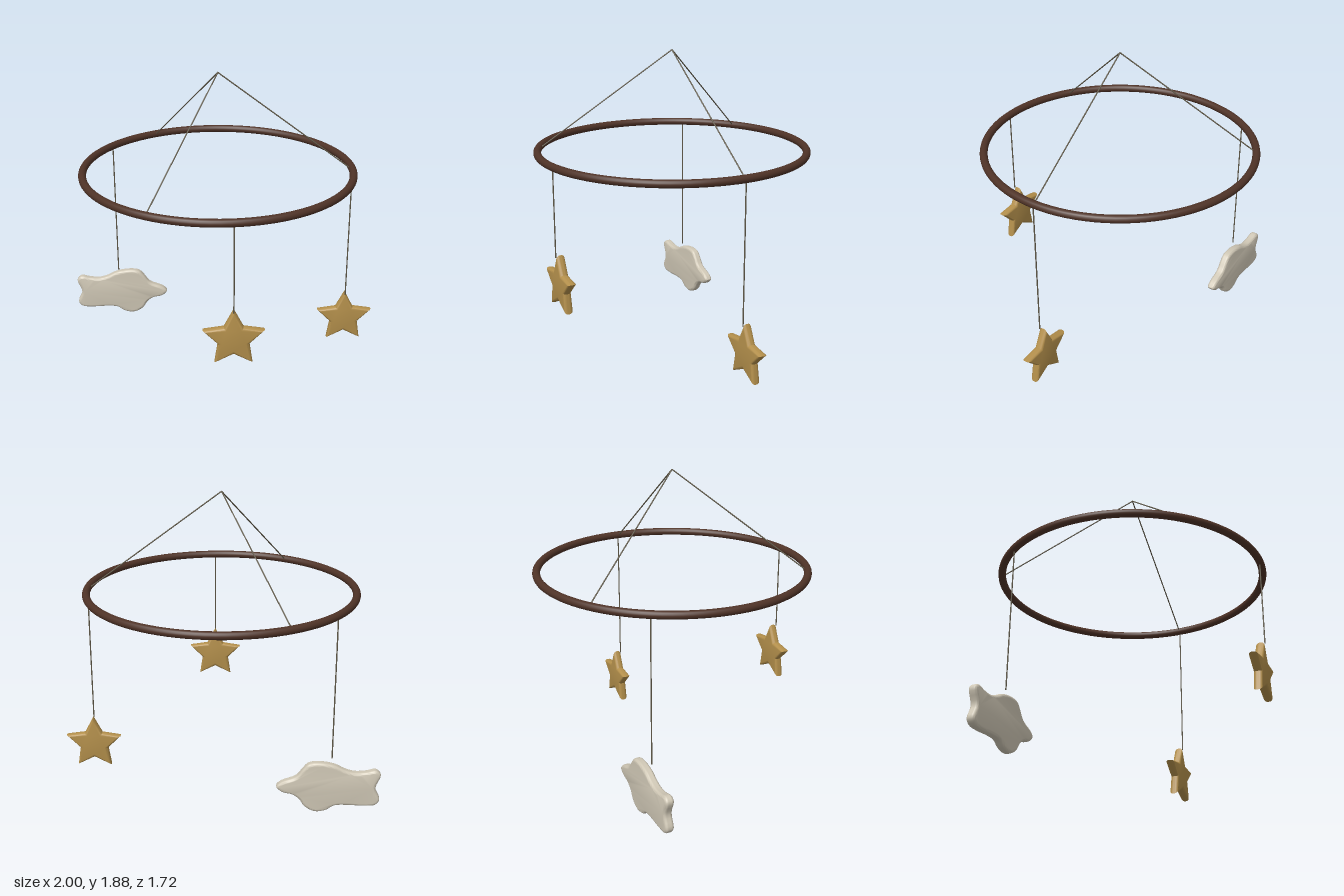
import * as THREE from 'three';
import { toCreasedNormals } from 'three/addons/utils/BufferGeometryUtils.js';

const wood = new THREE.MeshStandardMaterial({ color: 0x4f3327 });
const twine = new THREE.MeshStandardMaterial({ color: 0x625b4a });
const gold = new THREE.MeshStandardMaterial({ color: 0xb38f4b });
const cream = new THREE.MeshStandardMaterial({ color: 0xcfc7b5 });

const CX = -0.017, RING_Y = 1.265, RING_R = 0.835;

function addMesh(parent, name, geometry, material) {
  const mesh = new THREE.Mesh(geometry, material);
  mesh.name = name;
  parent.add(mesh);
  return mesh;
}

// Thin straight cord between two points
function addCord(parent, name, a, b) {
  const dir = b.clone().sub(a);
  const cord = addMesh(parent, name, new THREE.CylinderGeometry(0.004, 0.004, dir.length(), 8), twine);
  cord.position.copy(a).addScaledVector(dir, 0.5);
  cord.quaternion.setFromUnitVectors(new THREE.Vector3(0, 1, 0), dir.normalize());
}

// Padded flat shape with rounded edges, 0.055 thick and centred on z
function padded(shape, bevel, thickness, offset) {
  const depth = 0.055 - 2 * thickness;
  const geometry = new THREE.ExtrudeGeometry(shape, {
    depth, bevelEnabled: true, bevelSize: bevel, bevelThickness: thickness,
    bevelOffset: offset, bevelSegments: 5, curveSegments: 12,
  });
  geometry.translate(0, 0, -depth / 2);
  return toCreasedNormals(geometry, 0.65);
}

function starGeometry() {
  const points = [];
  for (let i = 0; i < 10; i++) {
    const r = i % 2 ? 0.073 : 0.159;
    const a = Math.PI / 2 + (i * Math.PI) / 5;
    points.push(new THREE.Vector2(r * Math.cos(a), r * Math.sin(a)));
  }
  return padded(new THREE.Shape(points), 0.02, 0.022, 0);
}

function cloudGeometry() {
  // Outline, counter-clockwise from the upper left lobe
  const outline = [
    [-1.0, 0.265], [-0.972, 0.175], [-1.0, 0.095], [-0.975, 0.06], [-0.9, 0.052],
    [-0.8, 0.056], [-0.725, 0.05], [-0.68, 0.02], [-0.61, 0.007], [-0.545, 0.04],
    [-0.51, 0.09], [-0.47, 0.12], [-0.405, 0.137], [-0.37, 0.172], [-0.4, 0.204],
    [-0.49, 0.243], [-0.53, 0.295], [-0.565, 0.33], [-0.63, 0.339], [-0.72, 0.324],
    [-0.78, 0.295], [-0.84, 0.277], [-0.91, 0.281], [-0.97, 0.293],
  ].map(([x, y]) => new THREE.Vector3(x, y, 0));
  const curve = new THREE.CatmullRomCurve3(outline, true);
  const points = curve.getPoints(96).slice(0, -1).map((p) => new THREE.Vector2(p.x, p.y));
  return padded(new THREE.Shape(points), 0.018, 0.018, -0.018);
}

export function createModel() {
  const model = new THREE.Group();
  model.name = 'hangingMobile';

  // Wooden hoop
  const hoop = addMesh(model, 'hoop', new THREE.TorusGeometry(RING_R, 0.024, 16, 96), wood);
  hoop.rotation.x = Math.PI / 2;
  hoop.position.set(CX, RING_Y, 0);

  // Three suspension cords meeting at the top
  const apex = new THREE.Vector3(CX, 1.88, 0);
  for (let i = 0; i < 3; i++) {
    const a = (i * Math.PI * 2) / 3;
    const foot = new THREE.Vector3(CX + 0.82 * Math.cos(a), 1.27, 0.82 * Math.sin(a));
    addCord(model, 'suspensionCord', apex, foot);
  }

  // Cords for the hanging shapes
  for (const [x, y, z] of [[0.82, 0.38, 0], [0.055, 0.71, 0.832], [-0.705, 0.35, -0.473]]) {
    addCord(model, 'hangingCord', new THREE.Vector3(x, RING_Y, z), new THREE.Vector3(x, y, z));
  }

  // Hanging shapes
  const star = starGeometry();
  addMesh(model, 'frontStar', star, gold).position.set(0.055, 0.533, 0.803);
  addMesh(model, 'sideStar', star, gold).position.set(0.82, 0.205, -0.028);
  addMesh(model, 'cloud', cloudGeometry(), cream).position.z = -0.5;
  return model;
}
